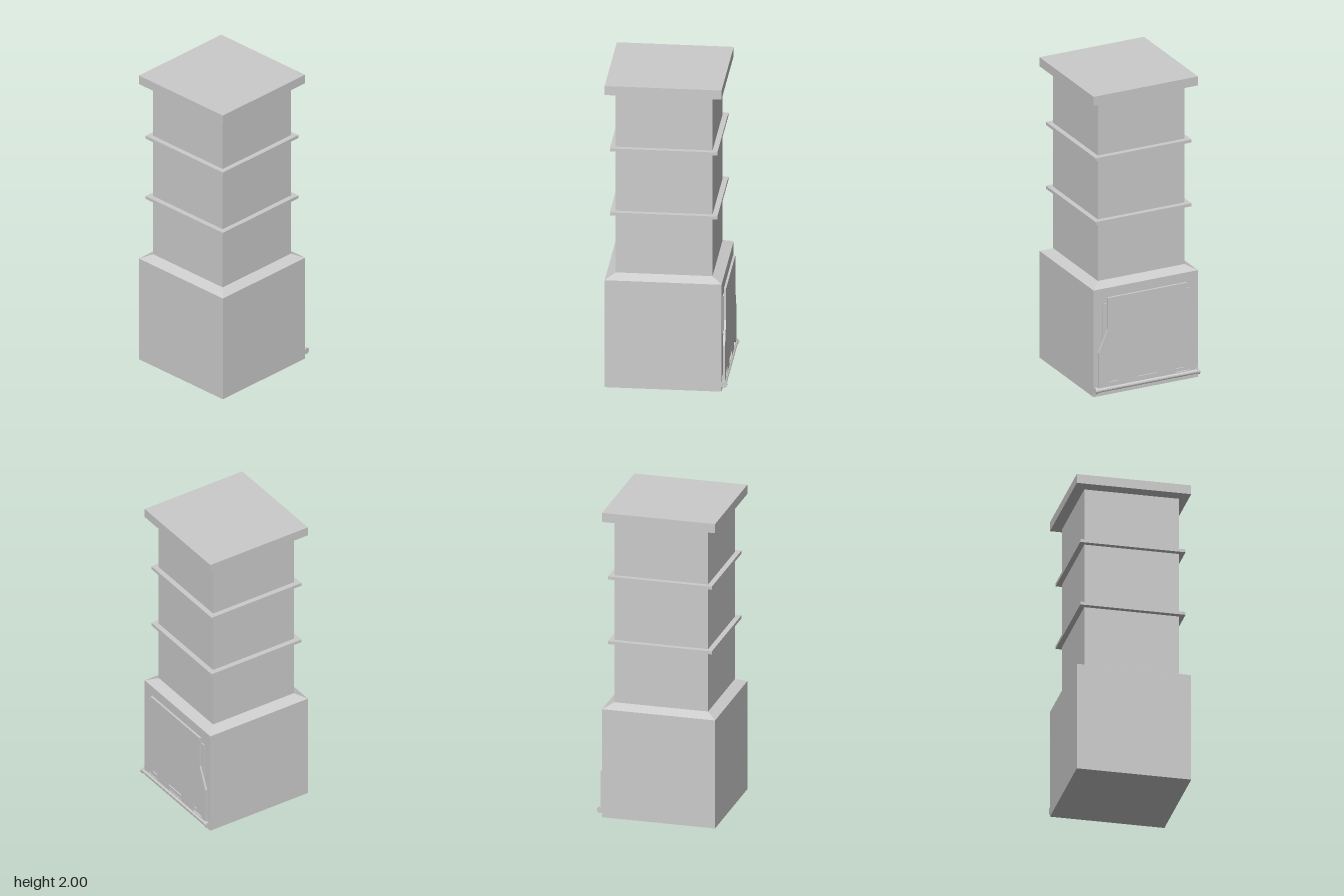
import * as THREE from 'three';

const grey = new THREE.MeshStandardMaterial({ color: 0xcccccc, flatShading: true });
const CX = -0.019; // centre line of the tower

function add(parent, name, geometry, x = 0, y = 0, z = 0) {
  const mesh = new THREE.Mesh(geometry, grey);
  mesh.name = name;
  mesh.position.set(x, y, z);
  parent.add(mesh);
  return mesh;
}

// Square block from y0 to y1, given half widths at bottom and top
function block(parent, name, y0, y1, bottom, top = bottom) {
  const g = new THREE.CylinderGeometry(top * Math.SQRT2, bottom * Math.SQRT2, y1 - y0, 4, 1, false, Math.PI / 4);
  return add(parent, name, g, CX, (y0 + y1) / 2);
}

function polygon(points, Type = THREE.Shape) {
  return new Type(points.map(([z, y]) => new THREE.Vector2(-z, y)));
}

export function createModel() {
  const model = new THREE.Group();
  model.name = 'chimneyTower';

  // Tower
  block(model, 'base', 0, 0.71, 0.362);
  block(model, 'baseShoulder', 0.71, 0.74, 0.362, 0.3);
  block(model, 'column', 0.74, 1.935, 0.3);
  for (const y of [1.13, 1.555]) block(model, 'columnBand', y, y + 0.02, 0.333);
  block(model, 'capUnderside', 1.93, 1.94, 0.315, 0.362);
  block(model, 'cap', 1.94, 2, 0.362);

  // Hatch plate on the left side, with cut-outs along its foot
  const hatch = new THREE.Group();
  hatch.name = 'hatch';
  model.add(hatch);
  const plate = polygon([
    [0.335, 0.05], [0.335, 0.295], [0.272, 0.44], [0.272, 0.65],
    [-0.272, 0.65], [-0.272, 0.44], [-0.335, 0.295], [-0.335, 0.05],
  ]);
  plate.holes.push(polygon([[0.068, 0.065], [0.068, 0.13], [-0.068, 0.13], [-0.068, 0.065]], THREE.Path));
  for (const s of [1, -1]) {
    plate.holes.push(polygon([[s * 0.3, 0.065], [s * 0.2, 0.13], [s * 0.2, 0.065]], THREE.Path));
  }
  const plateGeometry = new THREE.ExtrudeGeometry(plate, { depth: 0.014, bevelEnabled: false });
  plateGeometry.rotateY(Math.PI / 2);
  add(hatch, 'hatchPlate', plateGeometry, 0.348);
  add(hatch, 'hatchSill', new THREE.BoxGeometry(0.012, 0.035, 0.66), 0.345, 0.0675);
  for (const s of [1, -1]) {
    add(hatch, 'hatchSideStrip', new THREE.BoxGeometry(0.01, 0.25, 0.045), 0.345, 0.485, s * 0.28);
  }

  // Hinge rod with end collars
  const rod = new THREE.CylinderGeometry(0.015, 0.015, 0.71, 12).rotateX(Math.PI / 2);
  add(hatch, 'hingeRod', rod, 0.357, 0.046);
  for (const s of [1, -1]) {
    const collar = new THREE.CylinderGeometry(0.021, 0.021, 0.014, 12).rotateX(Math.PI / 2);
    add(hatch, 'hingeCollar', collar, 0.357, 0.046, s * 0.354);
  }
  return model;
}
